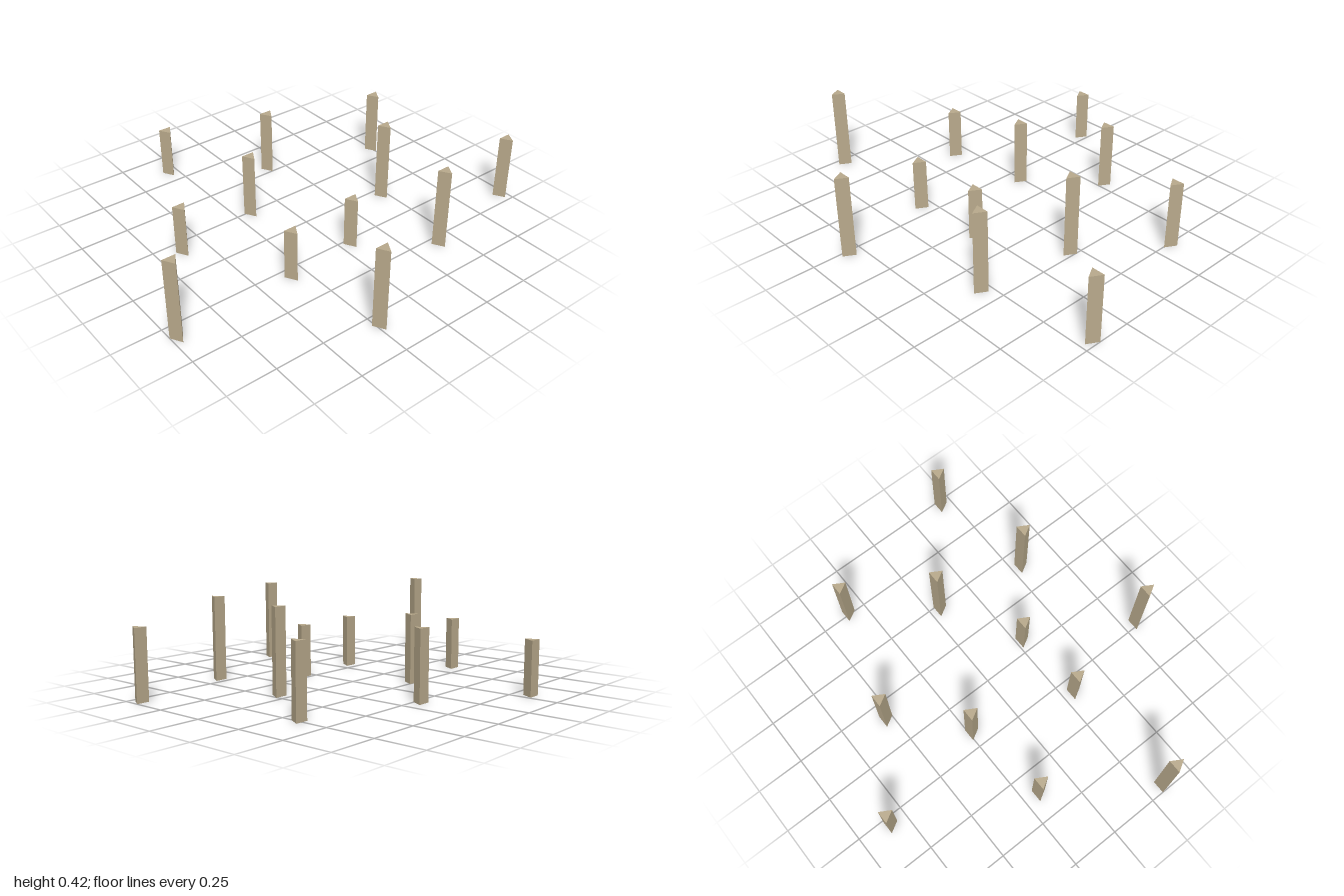
import * as THREE from 'three';

export function createModel() {
  const group = new THREE.Group();
  const stone = new THREE.MeshStandardMaterial({ color: 0xb9aa8c });
  stone.name = 'sandstone';

  // Three pillar heights; each pillar is a three-sided prism with one edge toward +x
  const SHORT = 0.267, MEDIUM = 0.345, TALL = 0.423, RADIUS = 0.0385;
  const prism = (height) => {
    const g = new THREE.CylinderGeometry(RADIUS, RADIUS, height, 3, 1, false, Math.PI / 2).toNonIndexed();
    g.computeVertexNormals(); // flat faces
    return g.translate(0, height / 2, 0);
  };

  // Scattered pillars: x, z, height
  const pillars = [
    [0.437, -0.967, MEDIUM],
    [-0.346, -0.753, MEDIUM],
    [0.052, -0.472, TALL],
    [0.549, -0.401, TALL],
    [-0.536, -0.158, MEDIUM],
    [0.281, -0.061, SHORT],
    [-0.236, 0.17, MEDIUM],
    [0.816, 0.231, TALL],
    [-0.839, 0.293, SHORT],
    [0.309, 0.325, SHORT],
    [-0.169, 0.622, SHORT],
    [0.336, 0.967, TALL],
  ];
  pillars.forEach(([x, z, height], i) => {
    const pillar = new THREE.Mesh(prism(height), stone);
    pillar.name = `pillar${i + 1}`;
    pillar.position.set(x, 0, z);
    group.add(pillar);
  });
  return group;
}
